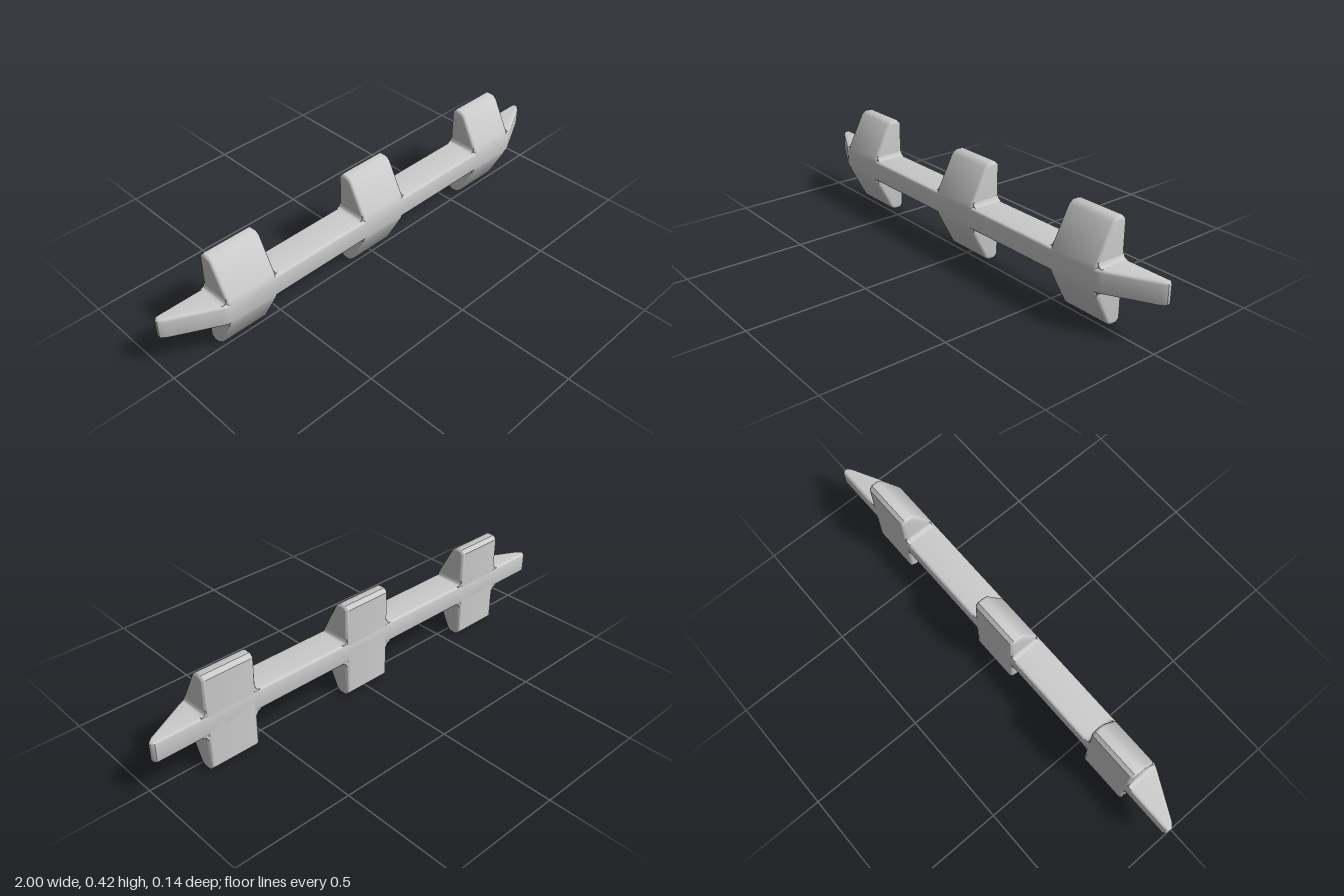
import * as THREE from 'three';
import { toCreasedNormals } from 'three/addons/utils/BufferGeometryUtils.js';

const MID = 0.21, RAIL_H = 0.092, PLATE_W = 0.222, BACK = -0.071, FRONT = 0.072;

// Extrude a closed outline to a centred thickness, with softened rims inside the outline.
function softSlab(points, thickness, bevel) {
  const shape = new THREE.Shape(points.map(([x, y]) => new THREE.Vector2(x, y)));
  const geo = new THREE.ExtrudeGeometry(shape, {
    depth: thickness - 2 * bevel, bevelEnabled: true, bevelThickness: bevel,
    bevelSize: bevel, bevelOffset: -bevel, bevelSegments: 3,
  });
  geo.translate(0, 0, -(thickness - 2 * bevel) / 2);
  return toCreasedNormals(geo, 0.75);
}

export function createModel() {
  const group = new THREE.Group();
  const material = new THREE.MeshStandardMaterial({ color: 0xcccccc });
  const add = (name, geo, x, y, z) => {
    const mesh = new THREE.Mesh(geo, material);
    mesh.name = name;
    mesh.position.set(x, y, z);
    group.add(mesh);
  };

  // Long rail, its ends sloping to the flat back; outline is (x, -z)
  const half = [[0.99, -BACK], [1, 0.06], [1, 0.047], [0.982, 0.031], [0.8, -0.064], [0.78, -FRONT]];
  const railOutline = [...half, ...half.map(([x, y]) => [-x, y]).reverse()];
  const rail = softSlab(railOutline, RAIL_H, 0.011);
  rail.rotateX(-Math.PI / 2);
  add('rail', rail, 0, MID, 0);

  // Cross plate: flat back, sloping upper and lower front; outline is (-z, y)
  const upper = [[-FRONT, 0.038], [-0.065, 0.06], [0.006, 0.196], [0.025, 0.21], [0.056, 0.21], [-BACK, 0.194]];
  const plateOutline = [...upper, ...upper.map(([x, y]) => [x, -y]).reverse()];
  const plate = softSlab(plateOutline, PLATE_W, 0.012);
  plate.rotateY(Math.PI / 2);

  for (const cx of [-0.669, 0, 0.669]) {
    add('crossPlate', plate, cx, MID, 0);

    // Concave fillets in the four corners between plate and rail
    for (const sx of [-1, 1]) for (const sy of [-1, 1]) {
      const x = cx + sx * (PLATE_W / 2), y = MID + sy * (RAIL_H / 2);
      const r = 0.018, d = 0.012;
      const s = new THREE.Shape();
      s.moveTo(x - sx * d, y - sy * d);
      s.lineTo(x + sx * r, y - sy * d);
      s.lineTo(x + sx * r, y);
      s.quadraticCurveTo(x, y, x, y + sy * r);
      s.lineTo(x - sx * d, y + sy * r);
      const geo = new THREE.ExtrudeGeometry(s, { depth: 0.128, bevelEnabled: false, curveSegments: 5 });
      add('fillet', toCreasedNormals(geo, 0.7), 0, 0, BACK + 0.002);
    }
  }
  return group;
}
